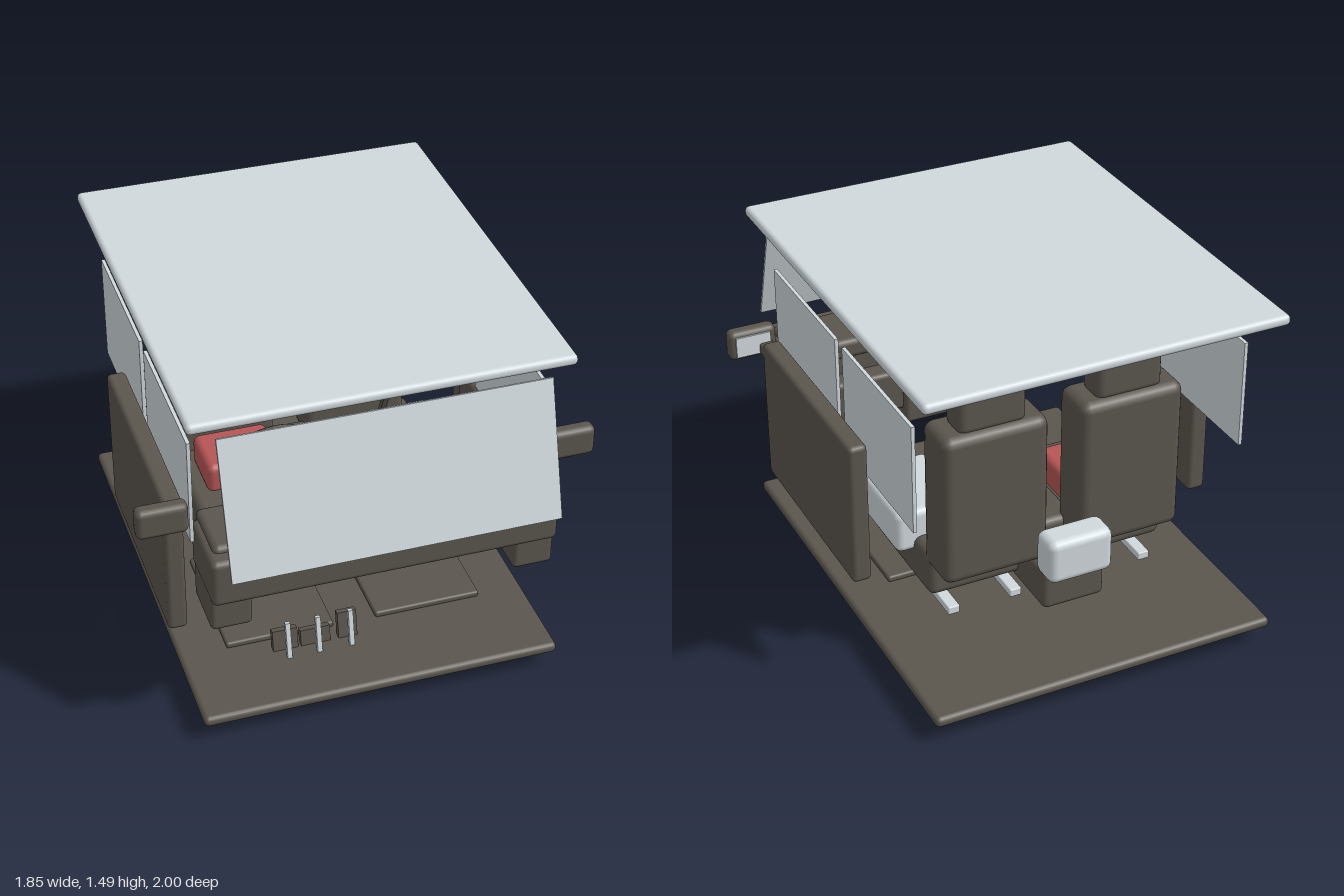
import * as THREE from 'three';
import { RoundedBoxGeometry } from 'three/addons/geometries/RoundedBoxGeometry.js';

const mat = (name, color) => Object.assign(new THREE.MeshStandardMaterial({ color }), { name });

export function createModel() {
  const group = new THREE.Group();
  const dark = mat('darkTrim', 0x5a554d);
  const light = mat('lightGrey', 0xd0d8dc);
  const red = mat('red', 0xb65555);

  const add = (name, geometry, material) => {
    const mesh = new THREE.Mesh(geometry, material);
    mesh.name = name;
    group.add(mesh);
    return mesh;
  };

  // Rounded box given by its [min, max] range on each axis
  const box = (name, material, [x0, x1], [y0, y1], [z0, z1], r = 0.02) => {
    const size = [x1 - x0, y1 - y0, z1 - z0];
    const radius = Math.min(r, Math.min(...size) * 0.49);
    const geometry = radius > 0.004 ? new RoundedBoxGeometry(...size, 2, radius) : new THREE.BoxGeometry(...size);
    const mesh = add(name, geometry, material);
    mesh.position.set((x0 + x1) / 2, (y0 + y1) / 2, (z0 + z1) / 2);
    return mesh;
  };

  // The same box on both sides of the cabin
  const pair = (name, material, [x0, x1], y, z, r) => {
    box(name + 'Left', material, [x0, x1], y, z, r);
    box(name + 'Right', material, [-x1, -x0], y, z, r);
  };

  // Flat bar leaning in the y-z plane between two [y, z] points
  const slant = (name, material, x, width, [ya, za], [yb, zb], depth) => {
    const mesh = add(name, new THREE.BoxGeometry(width, Math.hypot(yb - ya, zb - za), depth), material);
    mesh.position.set(x, (ya + yb) / 2, (za + zb) / 2);
    mesh.rotation.x = Math.atan2(zb - za, yb - ya);
    return mesh;
  };

  // Floor, mats and roof
  box('floor', dark, [-0.74, 0.74], [0.08, 0.125], [-1, 0.86]);
  pair('floorMat', dark, [0.09, 0.545], [0.122, 0.15], [-0.1, 0.48], 0.01);
  box('roof', light, [-0.755, 0.755], [1.45, 1.495], [-0.965, 0.815]);

  // Glass
  slant('windshield', light, 0, 1.3, [0.89, 0.99], [1.425, 0.82], 0.012);
  pair('frontWindow', light, [0.695, 0.71], [0.82, 1.28], [-0.03, 0.62], 0);
  pair('rearWindow', light, [0.695, 0.71], [0.82, 1.28], [-0.75, -0.1], 0);

  // Doors, armrests and outside mirrors
  pair('door', dark, [0.72, 0.8], [0.36, 0.985], [-0.355, 0.57]);
  pair('doorArmrest', dark, [0.685, 0.73], [0.62, 0.81], [-0.2, 0.3]);
  pair('mirrorArm', dark, [0.74, 0.8], [0.92, 0.97], [0.53, 0.62], 0.01);
  pair('sideMirror', dark, [0.72, 0.925], [0.905, 1.035], [0.6, 0.67], 0.025);
  pair('sideMirrorGlass', light, [0.75, 0.9], [0.925, 1.015], [0.592, 0.6], 0);

  // Dashboard
  box('dashboard', dark, [-0.695, 0.695], [0.69, 0.895], [0.57, 0.875], 0.025);
  box('dashboardTop', dark, [-0.67, 0.67], [0.83, 0.918], [0.54, 0.81], 0.025);
  pair('dashboardEnd', dark, [0.53, 0.695], [0.55, 0.72], [0.595, 0.84]);
  box('centreStack', dark, [-0.21, 0.21], [0.5, 0.82], [0.45, 0.6]);
  box('gloveBox', dark, [0.13, 0.53], [0.56, 0.75], [0.48, 0.62]);

  // Steering wheel on its column
  const wheel = new THREE.Group();
  wheel.name = 'steeringWheel';
  const rim = new THREE.Mesh(new THREE.TorusGeometry(0.17, 0.02, 10, 32), dark);
  rim.name = 'wheelRim';
  const hub = new THREE.Mesh(new THREE.CylinderGeometry(0.05, 0.05, 0.04, 20), dark);
  hub.name = 'wheelHub';
  hub.rotation.x = Math.PI / 2;
  wheel.add(rim, hub);
  for (const angle of [0, Math.PI, -Math.PI / 2]) {
    const spoke = new THREE.Mesh(new THREE.BoxGeometry(0.15, 0.03, 0.02), dark);
    spoke.name = 'wheelSpoke';
    spoke.position.set(Math.cos(angle) * 0.09, Math.sin(angle) * 0.09, 0);
    spoke.rotation.z = angle;
    wheel.add(spoke);
  }
  wheel.position.set(-0.29, 0.93, 0.31);
  wheel.rotation.x = 0.4;
  group.add(wheel);
  slant('steeringColumn', dark, -0.29, 0.06, [0.93, 0.31], [0.81, 0.6], 0.06);

  // Seats with rails
  for (const [side, s] of [['left', 1], ['right', -1]]) {
    const x = 0.295 * s;
    const span = (w) => [x - w / 2, x + w / 2];
    box(side + 'SeatCushion', dark, span(0.455), [0.28, 0.48], [-0.47, 0.09], 0.035);
    box(side + 'SeatBack', dark, span(0.45), [0.42, 1.08], [-0.615, -0.405], 0.04);
    box(side + 'Headrest', dark, span(0.29), [1.06, 1.25], [-0.58, -0.44], 0.035);
    for (const offset of [-0.137, 0.137])
      box(side + 'SeatRail', light, [x + offset - 0.025, x + offset + 0.025], [0.195, 0.23], [-0.5, 0.085], 0.005);
  }
  box('leftBuckle', dark, [0.495, 0.535], [0.515, 0.555], [0.1, 0.14], 0.006);
  box('rightBuckle', dark, [-0.555, -0.515], [0.34, 0.375], [-0.2, -0.16], 0.006);

  // Console, armrest and gear lever
  box('centreConsole', dark, [-0.135, 0.135], [0.245, 0.425], [-0.7, 0.18], 0.025);
  box('consoleArmrest', dark, [-0.125, 0.125], [0.41, 0.495], [-0.47, -0.15], 0.03);
  const lever = add('gearLever', new THREE.CylinderGeometry(0.014, 0.014, 0.2, 12), light);
  lever.position.set(0, 0.51, 0.06);
  const knob = add('gearKnob', new THREE.SphereGeometry(0.035, 16, 12), dark);
  knob.position.set(0, 0.62, 0.06);

  // Boxes carried in the cabin
  box('redCase', red, [-0.45, -0.13], [0.46, 0.6], [-0.36, -0.1], 0.03);
  box('seatCase', light, [0.29, 0.595], [0.415, 0.6], [-0.32, 0.08], 0.03);
  box('smallSeatCase', light, [0.14, 0.3], [0.44, 0.59], [-0.3, 0.04], 0.02);
  box('rearCase', light, [-0.14, 0.14], [0.4, 0.595], [-0.765, -0.625], 0.035);

  // Pedals: x, width, lower and upper end
  for (const [x, w, y0, y1] of [[-0.317, 0.105, 0.03, 0.21], [-0.19, 0.125, 0.05, 0.19], [-0.053, 0.08, 0.005, 0.235]]) {
    const z = (y) => 0.565 - y * 0.2;
    slant('pedalPad', dark, x, w, [y0, z(y0)], [y1, z(y1)], 0.03);
    slant('pedalStem', light, x, 0.02, [0.125, 0.605], [0.28, 0.573], 0.02);
  }

  // Sun visors and rear-view mirror
  pair('sunVisor', light, [0.1, 0.52], [1.4, 1.425], [0.385, 0.59], 0.01);
  slant('mirrorStem', dark, 0, 0.02, [1.28, 0.715], [1.46, 0.795], 0.02);
  box('rearViewMirror', dark, [-0.14, 0.14], [1.215, 1.31], [0.68, 0.735], 0.02);
  box('rearViewMirrorGlass', light, [-0.12, 0.12], [1.23, 1.295], [0.672, 0.681], 0);

  return group;
}
